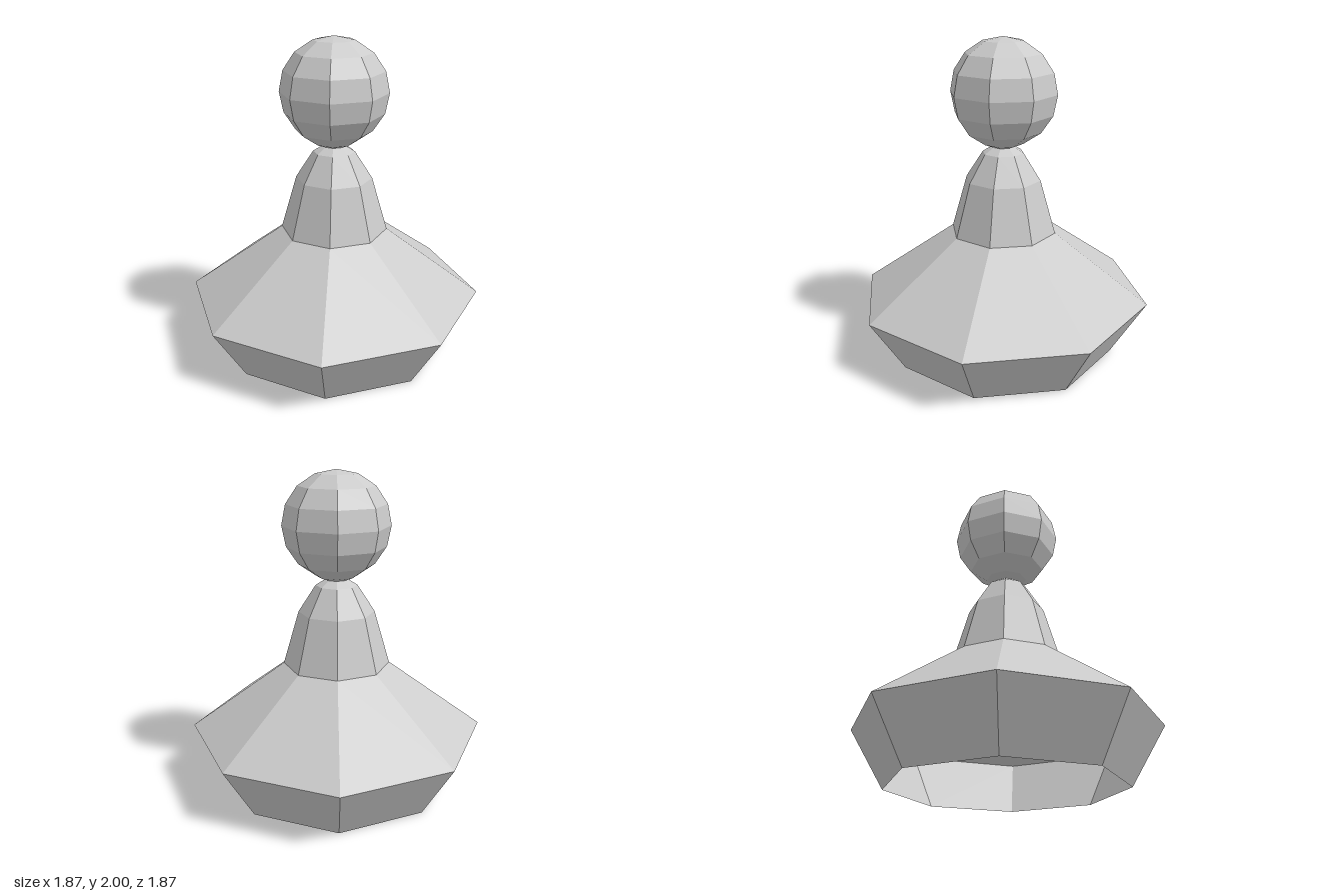
import * as THREE from 'three';

const SIDES = 8;

export function createModel() {
  const group = new THREE.Group();
  const material = new THREE.MeshStandardMaterial({
    color: 0xcccccc, flatShading: true, side: THREE.DoubleSide,
  });

  // Eight-sided turned part from [radius, height] pairs, bottom to top
  const addTurned = (name, profile) => {
    const points = profile.map(([r, y]) => new THREE.Vector2(r, y));
    const mesh = new THREE.Mesh(new THREE.LatheGeometry(points, SIDES), material);
    mesh.name = name;
    group.add(mesh);
  };

  // Flared base, hollow and open underneath
  addTurned('base', [[0.717, 0], [0.934, 0.36], [0.336, 0.79]]);

  // Tapering neck, rounded in towards the head
  const waist = [0.07, 1.335];
  addTurned('neck', [[0.336, 0.79], [0.238, 1.129], [0.13, 1.298], waist]);

  // Ball head: rings every 22.5 degrees, starting from the waist
  const radius = 0.334, centre = 1.666;
  const ball = [waist];
  for (let i = 1; i <= 8; i++) {
    const a = (i * Math.PI) / 8;
    ball.push([i === 8 ? 0 : radius * Math.sin(a), centre - radius * Math.cos(a)]);
  }
  addTurned('head', ball);

  return group;
}
